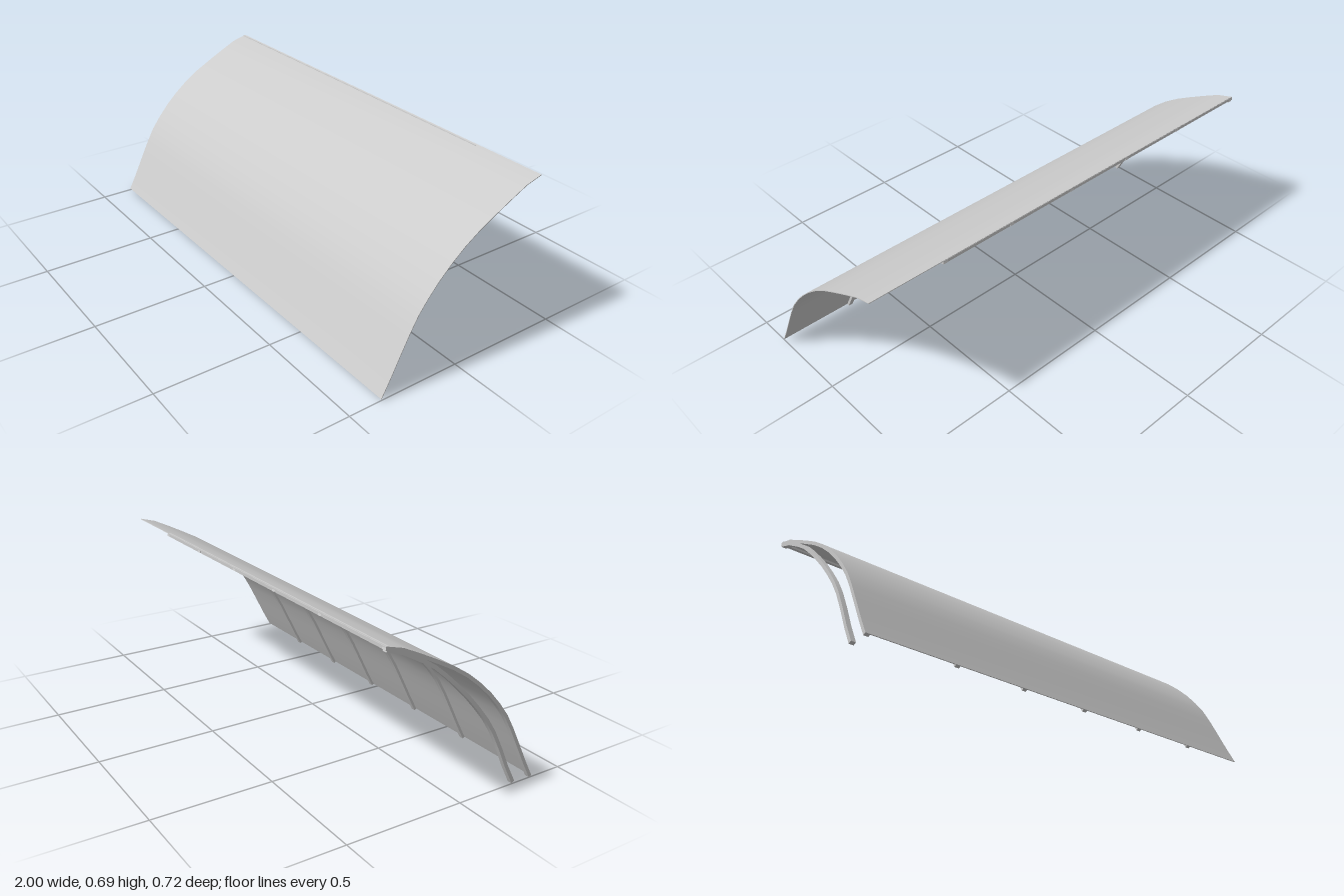
import * as THREE from 'three';
import { toCreasedNormals } from 'three/addons/utils/BufferGeometryUtils.js';

// Side profiles as [z, y], from the low front edge to the high back edge
const ROOF = [[0.358, 0.007], [0.322, 0.075], [0.28, 0.16], [0.241, 0.238], [0.205, 0.302],
  [0.163, 0.358], [0.116, 0.412], [0.063, 0.463], [0.003, 0.512], [-0.064, 0.556],
  [-0.138, 0.596], [-0.212, 0.634], [-0.286, 0.67], [-0.357, 0.69]];
const BRACE = [[0.269, 0.009], [0.23, 0.084], [0.19, 0.172], [0.15, 0.251], [0.112, 0.31],
  [0.067, 0.367], [0.016, 0.426], [-0.04, 0.483], [-0.093, 0.533], [-0.146, 0.578],
  [-0.197, 0.611], [-0.283, 0.659], [-0.352, 0.683]];

// Moves a profile inwards (down and back) along its normals
function inset(points, distance) {
  return points.map(([z, y], i) => {
    const a = points[Math.max(i - 1, 0)];
    const b = points[Math.min(i + 1, points.length - 1)];
    const dz = b[0] - a[0], dy = b[1] - a[1], length = Math.hypot(dz, dy);
    return [z - (dy / length) * distance, y + (dz / length) * distance];
  });
}

// Curved strip lying between two depths below a profile, spanning x0 to x1
function strip(name, profile, top, bottom, x0, x1, material) {
  const outline = [...inset(profile, top), ...inset(profile, bottom).reverse()];
  const shape = new THREE.Shape(outline.map(([z, y]) => new THREE.Vector2(z, y)));
  const geometry = new THREE.ExtrudeGeometry(shape, { depth: x1 - x0, bevelEnabled: false });
  geometry.rotateY(-Math.PI / 2).translate(x1, 0, 0);
  const mesh = new THREE.Mesh(toCreasedNormals(geometry, 0.5), material);
  mesh.name = name;
  return mesh;
}

export function createModel() {
  const model = new THREE.Group();
  model.name = 'curvedCanopy';
  const grey = new THREE.MeshStandardMaterial({ color: 0xcccccc });

  // Thin curved roof sheet
  model.add(strip('roofSheet', ROOF, 0, 0.003, -1, 1, grey));

  // Ribs carrying the sheet
  const ribs = new THREE.Group();
  ribs.name = 'ribs';
  for (const x of [-0.99, -0.61, -0.29, 0.03, 0.35, 0.67]) {
    ribs.add(strip('rib', ROOF, 0.003, 0.014, x - 0.01, x + 0.01, grey));
  }
  model.add(ribs);

  // Free-standing curved brace under the end rib
  model.add(strip('endBrace', BRACE, 0, 0.015, -1, -0.98, grey));

  // Rail joining the rib tops at the back
  const rail = new THREE.Mesh(new THREE.BoxGeometry(1.68, 0.013, 0.013), grey);
  rail.name = 'backRail';
  rail.position.set(-0.16, 0.682, -0.352);
  model.add(rail);

  return model;
}
